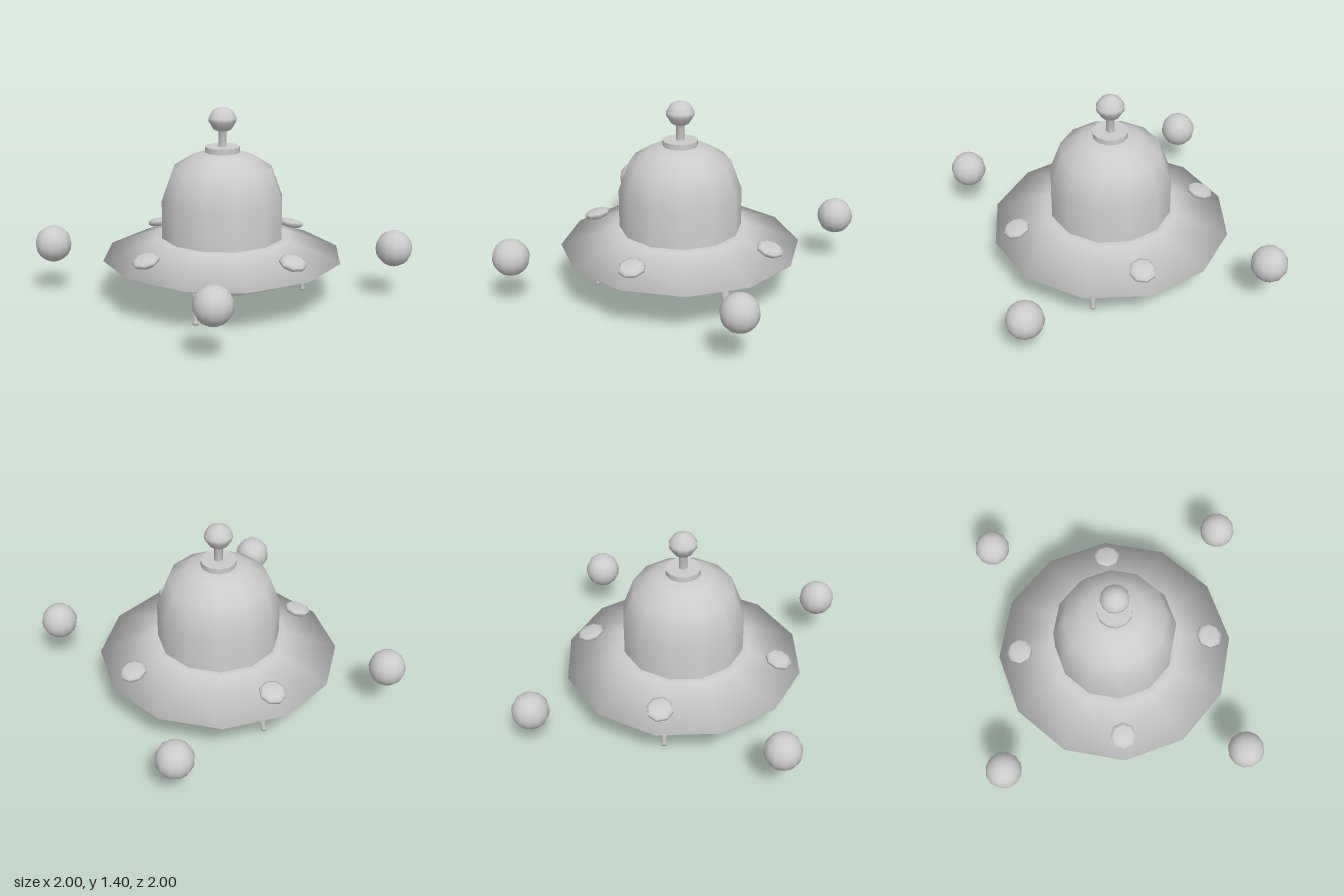
import * as THREE from 'three';

const material = new THREE.MeshStandardMaterial({ color: 0xcccccc, side: THREE.DoubleSide });

// Turned part from [radius, height] pairs, listed bottom to top
function turned(name, profile, sides) {
  const points = profile.map(([r, y]) => new THREE.Vector2(r, y));
  const mesh = new THREE.Mesh(new THREE.LatheGeometry(points, sides), material);
  mesh.name = name;
  return mesh;
}

export function createModel() {
  const group = new THREE.Group();

  // Hollow saucer, open underneath
  group.add(turned('saucer', [[0.49, 0.18], [0.865, 0.335], [0.49, 0.475], [0.43, 0.475]], 12));

  // Dome, its open base reaching down inside the saucer
  group.add(turned('dome', [
    [0.44, 0.33], [0.44, 0.75], [0.36, 0.97], [0.225, 1.055], [0.11, 1.09], [0, 1.09],
  ], 12));

  // Collar and antenna
  const collar = new THREE.Mesh(new THREE.CylinderGeometry(0.126, 0.126, 0.045, 12), material);
  collar.name = 'collar';
  collar.position.y = 1.103;
  group.add(collar);
  group.add(turned('antenna', [
    [0.03, 1.12], [0.03, 1.23], [0.065, 1.25], [0.1, 1.305], [0.1, 1.33],
    [0.075, 1.375], [0.035, 1.4], [0, 1.405],
  ], 12));

  // Lamps lying on the sloping upper face
  for (let i = 0; i < 4; i++) {
    const arm = new THREE.Group();
    arm.name = 'lampMount';
    arm.rotation.y = i * Math.PI / 2;
    const lamp = turned('lamp', [
      [0, -0.03], [0.07, -0.03], [0.095, -0.012], [0.095, 0.01], [0.07, 0.024], [0, 0.026],
    ], 8);
    lamp.position.set(0.705, 0.43, 0);
    lamp.rotation.z = -0.27;
    arm.add(lamp);
    group.add(arm);
  }

  // Three splayed legs with small rounded feet
  for (let i = 0; i < 3; i++) {
    const arm = new THREE.Group();
    arm.name = 'legMount';
    arm.rotation.y = Math.PI + i * Math.PI * 2 / 3;
    const leg = turned('leg', [
      [0, 0], [0.018, 0.002], [0.021, 0.018], [0.016, 0.038], [0.038, 0.2], [0.038, 0.23], [0, 0.23],
    ], 8);
    leg.position.set(0.613, 0.005, 0);
    leg.rotation.z = 0.25;
    arm.add(leg);
    group.add(arm);
  }

  // Floating balls at the four corners
  const ballGeometry = new THREE.SphereGeometry(0.131, 12, 10);
  ballGeometry.rotateY(Math.PI / 12);
  for (const x of [-1, 1]) {
    for (const z of [-1, 1]) {
      const ball = new THREE.Mesh(ballGeometry, material);
      ball.name = 'ball';
      ball.position.set(x * 0.872, 0.39, z * 0.872);
      group.add(ball);
    }
  }
  return group;
}
